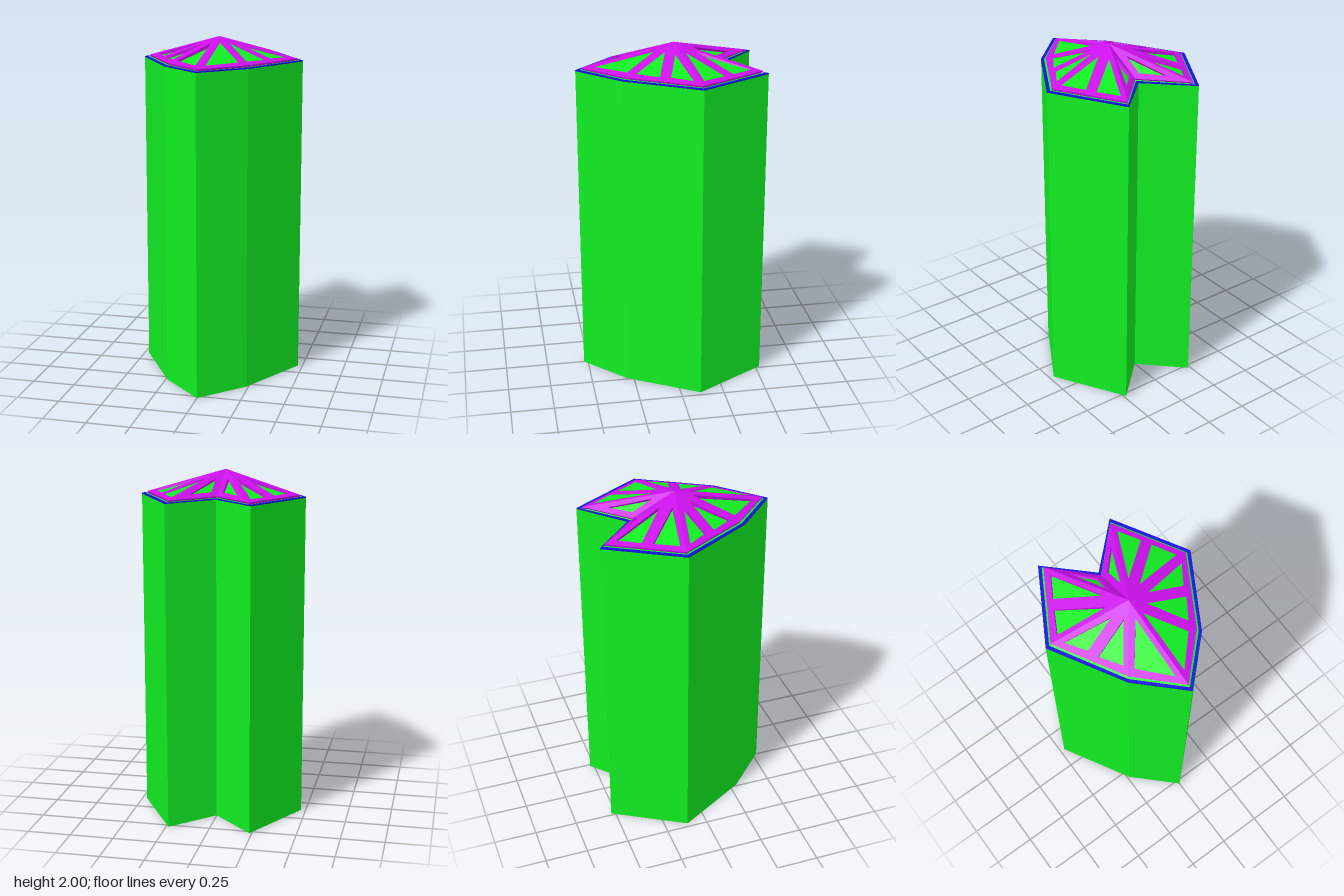
import * as THREE from 'three';

const V3 = (x, y, z) => new THREE.Vector3(x, y, z);
const paint = (color) => new THREE.MeshStandardMaterial({ color, flatShading: true });

// Half outlines [x, z], from the back notch round to the front point
const OUTER = [[0, -0.3], [0.236, -0.525], [0.473, -0.115], [0.239, 0.292], [0, 0.525]];
const INNER = [[0, -0.278], [0.226, -0.505], [0.451, -0.115], [0.229, 0.277], [0, 0.501]];
const FRAME = [[0, -0.274], [0.22, -0.496], [0.441, -0.115], [0.223, 0.268], [0, 0.49]];

// Triangular windows [x, z] in each roof facet of the +x half
const WINDOWS = [
  [[[0.133, -0.372], [0.031, -0.264], [0.033, -0.147]]],
  [[[0.219, -0.431], [0.289, -0.313], [0.081, -0.141]], [[0.319, -0.258], [0.389, -0.131], [0.108, -0.08]]],
  [[[0.383, -0.075], [0.311, 0.036], [0.119, -0.019]], [[0.286, 0.094], [0.211, 0.211], [0.075, 0.03]]],
  [[[0.025, 0.064], [0.175, 0.258], [0.028, 0.417]]],
];

const APEX_Z = -0.03;

// Full closed outline from a half outline
const mirror = (half) => [...half, ...half.slice(1, -1).reverse().map(([x, z]) => [-x, z])];
const planPoints = (half) => mirror(half).map(([x, z]) => new THREE.Vector2(x, -z));

// Upright prism with an optional hole
function prism(half, y0, y1, holeHalf) {
  const shape = new THREE.Shape(planPoints(half));
  if (holeHalf) shape.holes.push(new THREE.Path(planPoints(holeHalf)));
  return new THREE.ExtrudeGeometry(shape, { depth: y1 - y0, bevelEnabled: false })
    .rotateX(-Math.PI / 2).translate(0, y0, 0);
}

// Shallow pyramid over an outline
function pyramid(half, y0, apexY) {
  const ring = mirror(half);
  const pos = [];
  ring.forEach(([x, z], i) => {
    const [x2, z2] = ring[(i + 1) % ring.length];
    pos.push(0, apexY, APEX_Z, x2, y0, z2, x, y0, z);
  });
  const geo = new THREE.BufferGeometry();
  geo.setAttribute('position', new THREE.Float32BufferAttribute(pos, 3));
  geo.computeVertexNormals();
  return geo;
}

// Sloping facet with windows, thickened inwards along its normal
function facet(apex, b, c, windows, thickness) {
  const u = c.clone().sub(b).normalize();
  const n = u.clone().cross(apex.clone().sub(b)).normalize();
  if (n.y < 0) n.negate();
  const v = n.clone().cross(u);
  const flat = (p) => {
    const d = p.clone().sub(apex);
    return new THREE.Vector2(d.dot(u), d.dot(v));
  };
  const onPlane = ([x, z]) =>
    V3(x, apex.y - (n.x * (x - apex.x) + n.z * (z - apex.z)) / n.y, z);
  const shape = new THREE.Shape([apex, b, c].map(flat));
  windows.forEach((w) => shape.holes.push(new THREE.Path(w.map((p) => flat(onPlane(p))))));
  const toWorld = new THREE.Matrix4().makeBasis(u, v, n).setPosition(apex);
  return new THREE.ExtrudeGeometry(shape, { depth: thickness, bevelEnabled: false })
    .translate(0, 0, -thickness).applyMatrix4(toWorld);
}

export function createModel() {
  const model = new THREE.Group();
  const green = paint(0x11ee22);
  const blue = paint(0x1111dd);
  const purple = paint(0xcc11ee);
  const add = (parent, name, geo, mat) => {
    const mesh = new THREE.Mesh(geo, mat);
    mesh.name = name;
    parent.add(mesh);
  };

  // Tall column, rim and inner roof
  add(model, 'column', prism(OUTER, 0, 1.857), green);
  add(model, 'rim', prism(OUTER, 1.857, 1.863, INNER), blue);
  add(model, 'innerRoof', pyramid(INNER, 1.858, 1.974), green);

  // Roof lattice, one pierced facet per outline edge
  const lattice = new THREE.Group();
  lattice.name = 'roofLattice';
  model.add(lattice);
  const apex = V3(0, 2, APEX_Z);
  for (const side of [1, -1]) {
    WINDOWS.forEach((windows, i) => {
      const [b, c] = [FRAME[i], FRAME[i + 1]].map(([x, z]) => V3(side * x, 1.873, z));
      const holes = windows.map((w) => w.map(([x, z]) => [side * x, z]));
      add(lattice, 'roofFacet', facet(apex, b, c, holes, 0.024), purple);
    });
  }
  return model;
}
